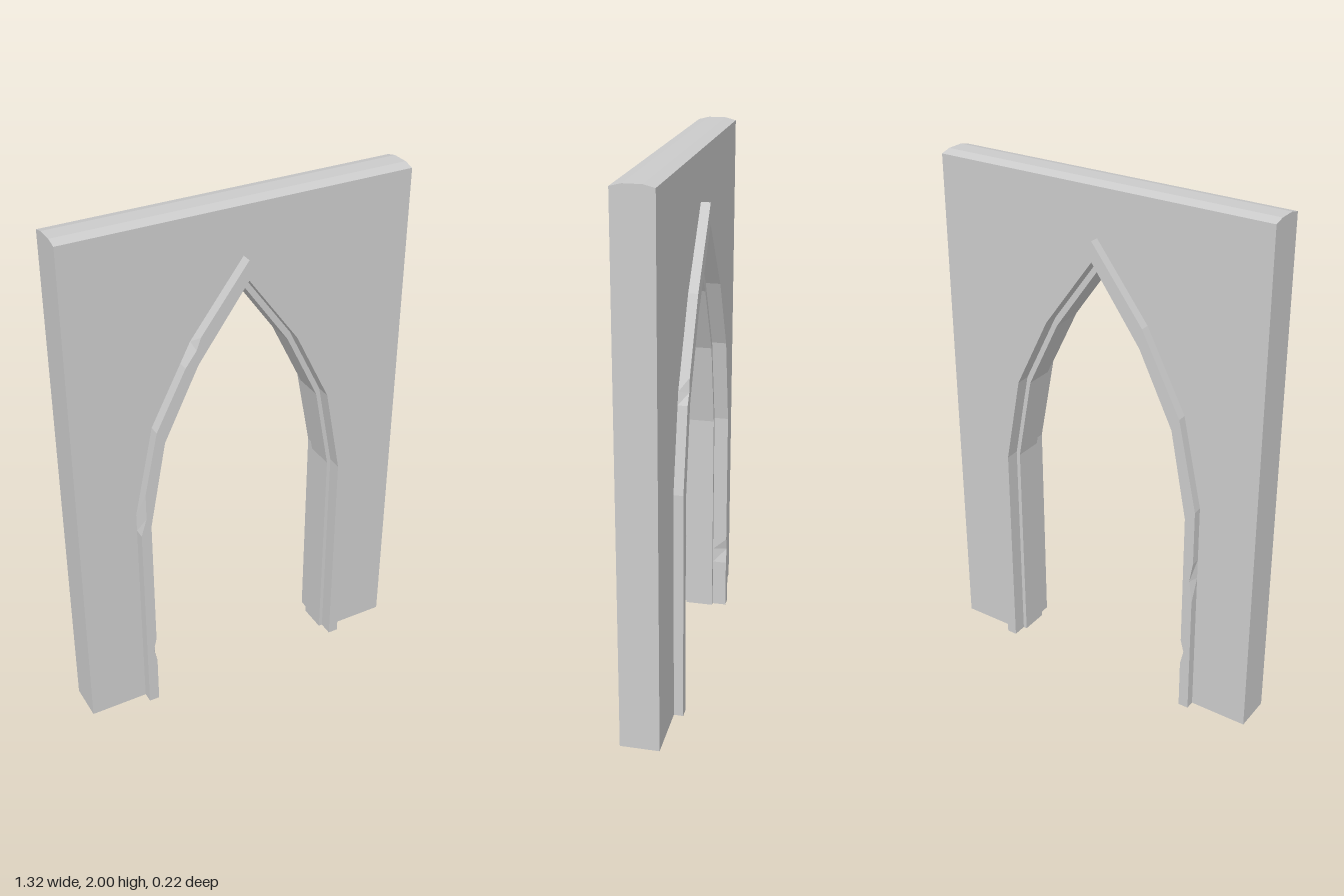
import * as THREE from 'three';

const mat = new THREE.MeshStandardMaterial({ color: 0xcccccc, flatShading: true, side: THREE.DoubleSide });
const W = 0.66, BACK = -0.075, FRONT = 0.07, EAVE = 1.99;

// Pointed-arch contours: outer trim edge, inner trim edge, inner lining edge
const contours = [
  [[0.435, 0.89], [0.36, 1.24], [0.205, 1.54], [0, 1.81]],
  [[0.395, 0.85], [0.33, 1.19], [0.195, 1.465], [0, 1.735]],
  [[0.38, 0.84], [0.317, 1.17], [0.188, 1.435], [0, 1.7]],
];
// Extra stations on the straight legs and between the arch corners, so chips stay local
const legY = [0, 0.2, 0.26, 0.31, 0.5, 0.59, 0.67, 0.82];
const between = [[0.3, 0.87], [0.15, 0.75], [0.1]];

function halfPath(c) {
  const pts = legY.map((y) => [c[0][0], y]);
  c.forEach((p, k) => {
    pts.push(p);
    (between[k] || []).forEach((t) => {
      const q = c[k + 1];
      pts.push([p[0] + (q[0] - p[0]) * t, p[1] + (q[1] - p[1]) * t]);
    });
  });
  return pts;
}
const halves = contours.map(halfPath);

// Stepped jamb section: [contour, z], from the back of the wall to its front
const section = [[0, BACK], [0, -0.11], [1, -0.11], [1, -0.055], [2, -0.055],
  [2, 0.055], [1, 0.055], [1, 0.11], [0, 0.11], [0, FRONT]];

// Chipped corners: side, station, section point, outward shift, upward shift
const chips = [
  [-1, 2, 7, 0.013, 0], [1, 5, 8, -0.014, 0], [-1, 8, 8, -0.022, 0], [-1, 14, 8, -0.004, -0.018],
  [1, 11, 1, -0.015, -0.006], [-1, 2, 2, 0.013, 0], [-1, 5, 1, -0.013, 0],
];

function ring(side, i) {
  return section.map(([c, z], p) => {
    let [x, y] = halves[c][i];
    for (const [s, st, pt, dx, dy] of chips) {
      if (s === side && st === i && pt === p) { x += dx; y += dy; }
    }
    return [side * x, y, z];
  });
}

function archGeometry() {
  const n = halves[0].length, rings = [];
  for (let i = 0; i < n; i++) rings.push(ring(1, i));
  for (let i = n - 2; i >= 0; i--) rings.push(ring(-1, i));
  const m = section.length, index = [];
  for (let r = 0; r < rings.length - 1; r++) {
    for (let p = 0; p < m - 1; p++) {
      const a = r * m + p, b = a + m;
      index.push(a, a + 1, b + 1, a, b + 1, b);
    }
  }
  // Flat feet under both jambs
  for (const r of [0, rings.length - 1]) {
    const outline = rings[r].map(([x, , z]) => new THREE.Vector2(x, z));
    for (const tri of THREE.ShapeUtils.triangulateShape(outline, [])) index.push(...tri.map((k) => r * m + k));
  }
  const g = new THREE.BufferGeometry();
  g.setAttribute('position', new THREE.Float32BufferAttribute(rings.flat(2), 3));
  g.setIndex(index);
  const flat = g.toNonIndexed();
  flat.computeVertexNormals();
  return flat;
}

function extrude(points, depth) {
  const shape = new THREE.Shape(points.map(([x, y]) => new THREE.Vector2(x, y)));
  return new THREE.ExtrudeGeometry(shape, { depth, bevelEnabled: false });
}

export function createModel() {
  const group = new THREE.Group();
  group.name = 'pointedArchway';
  const add = (name, geometry) => {
    const mesh = new THREE.Mesh(geometry, mat);
    mesh.name = name;
    group.add(mesh);
    return mesh;
  };

  // Wall slab, open at the bottom around the arch
  const right = contours[0].map(([x, y]) => [x, y]);
  const left = right.slice(0, -1).reverse().map(([x, y]) => [-x, y]);
  const wall = extrude([[W, 0], [W, EAVE], [-W, EAVE], [-W, 0], [-0.435, 0],
    ...[...right, ...left].reverse(), [0.435, 0]], FRONT - BACK);
  wall.translate(0, 0, BACK);
  add('wall', wall);

  // Slightly crowned top of the wall
  const crown = extrude([[-FRONT, EAVE], [-BACK, EAVE], [0.035, 2], [-0.03, 2]], 2 * W);
  crown.rotateY(Math.PI / 2);
  crown.translate(-W, 0, 0);
  add('wallCrown', crown);

  // Projecting trim and stepped lining of the opening
  add('archTrim', archGeometry());
  return group;
}
